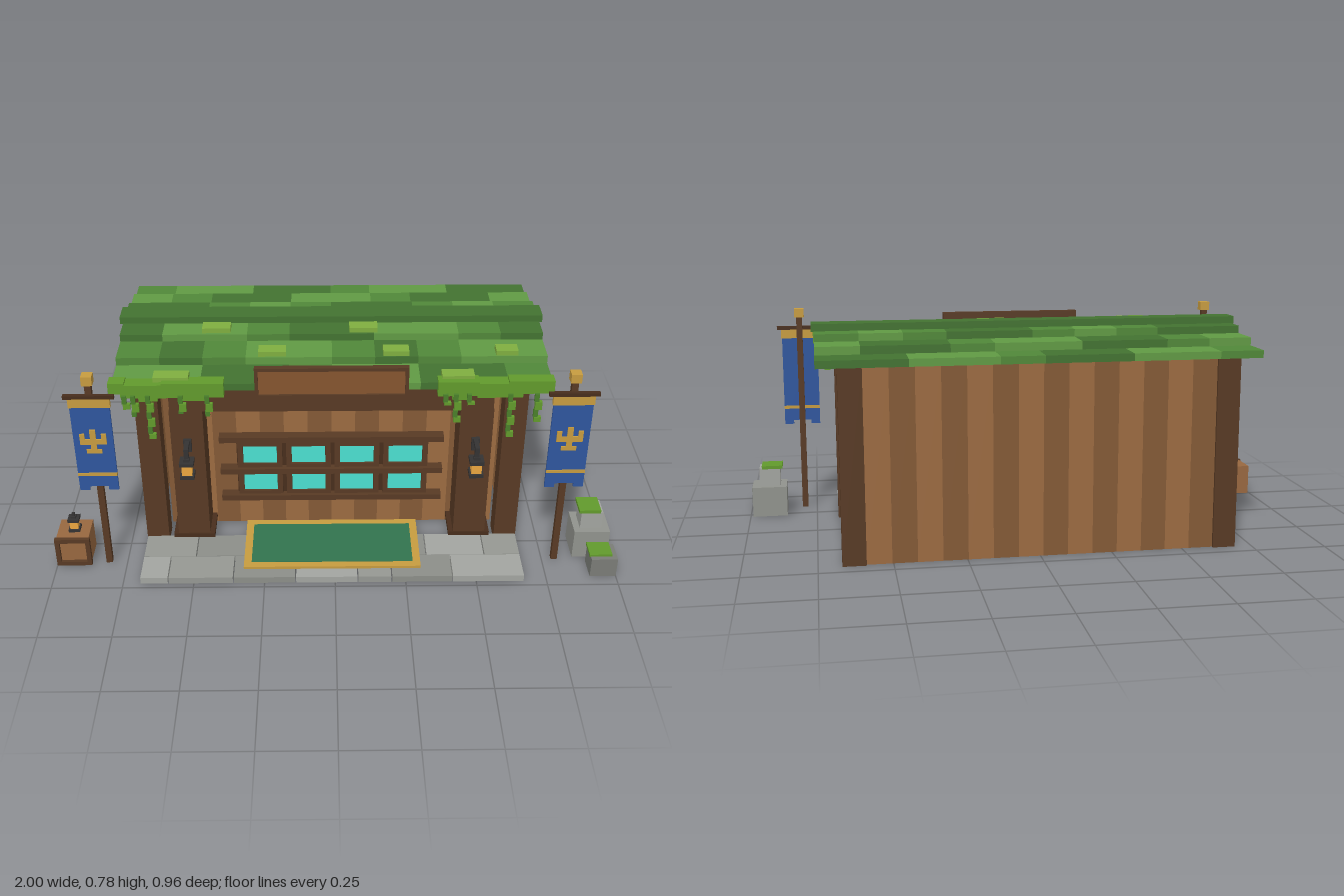
import * as THREE from 'three';

const C = {
  dark: 0x583a24, deep: 0x482e1c, plankA: 0x9c6b41, plankB: 0x845a36, board: 0x85552f, crate: 0x986840,
  glass: 0x4be0d0, gold: 0xc79c40, blue: 0x2f569e, iron: 0x343333, glow: 0xeaa640, rug: 0x32744f,
  stone: [0x969893, 0xa3a5a0, 0x8c8e89], rock: 0x91938d, rockDark: 0x7a7c77,
  roof: [0x437331, 0x518839, 0x619a44], moss: 0x7fae40, leaf: 0x629a2c, leafDark: 0x4a7f2a,
};
const mats = {};
const mat = c => (mats[c] ??= new THREE.MeshStandardMaterial({ color: c, side: THREE.DoubleSide }));
const MID = -0.01; // centre line of the building
const WALL = 0.118; // face of the recessed front wall

// Box given by its limits on each axis; boxes resting on the ground have no underside
function box(parent, name, color, x0, x1, y0, y1, z0, z1) {
  const geo = new THREE.BoxGeometry(x1 - x0, y1 - y0, z1 - z0);
  if (y0 === 0) {
    geo.setIndex([...geo.index.array].filter((_, i) => i < 18 || i >= 24));
    geo.clearGroups();
  }
  const m = new THREE.Mesh(geo, mat(color));
  m.position.set((x0 + x1) / 2, (y0 + y1) / 2, (z0 + z1) / 2);
  m.name = name;
  parent.add(m);
}

function group(parent, name, x = 0, y = 0, z = 0) {
  const g = new THREE.Group();
  g.name = name;
  g.position.set(x, y, z);
  parent.add(g);
  return g;
}

// Rectangular border of four strips in the xy plane
function border(parent, name, color, x0, x1, y0, y1, z0, z1, t) {
  for (const [a, b] of [[y0, y0 + t], [y1 - t, y1]]) box(parent, name, color, x0, x1, a, b, z0, z1);
  for (const [a, b] of [[x0, x0 + t], [x1 - t, x1]]) box(parent, name, color, a, b, y0 + t, y1 - t, z0, z1);
}

// Lantern standing at the given point
function lantern(parent, s, x, y, z) {
  const g = group(parent, 'lantern', x, y, z);
  const layer = (n, c, w, y0, y1) => box(g, n, c, -w, w, y0, y1, -w, w);
  layer('lanternBase', C.iron, 0.025, 0.0002, 0.013);
  layer('lanternGlow', C.glow, 0.018, 0.013, 0.053);
  layer('lanternCap', C.iron, 0.025, 0.053, 0.066);
  layer('lanternTop', C.iron, 0.011, 0.066, 0.076);
  g.scale.setScalar(s);
}

function walls(root) {
  const g = group(root, 'walls');
  const tint = i => (i % 2 ? C.plankA : C.plankB);
  const nx = 14, x0 = -0.61, w = 1.2 / nx;
  for (let i = 0; i < nx; i++) {
    box(g, 'frontPlank', tint(i), x0 + i * w, x0 + (i + 1) * w, 0, 0.67, WALL - 0.03, WALL);
    box(g, 'backPlank', tint(i), x0 + i * w, x0 + (i + 1) * w, 0, 0.67, -0.435, -0.405);
  }
  const nz = 5, d = 0.525 / nz;
  for (let i = 0; i < nz; i++)
    for (const x of [-0.68, 0.63])
      box(g, 'sidePlank', tint(i + 1), x, x + 0.03, 0, 0.67, -0.37 + i * d, -0.37 + (i + 1) * d);
  for (const x of [-0.69, 0.59])
    for (const z of [-0.445, 0.155]) box(g, 'cornerPost', C.dark, x, x + 0.08, 0, 0.67, z, z + 0.08);
  // Front pilasters, their feet, and the lintel
  for (const s of [-1, 1]) {
    const x = MID + s * 0.505;
    box(g, 'pilaster', C.dark, x - 0.058, x + 0.058, 0.025, 0.57, WALL, 0.242);
    box(g, 'pilasterFoot', C.deep, x - 0.075, x + 0.075, 0.0255, 0.042, WALL, 0.246);
  }
  box(g, 'lintel', C.dark, -0.57, 0.55, 0.57, 0.67, WALL, 0.245);
}

function roof(root) {
  const g = group(root, 'roof');
  const ridgeZ = -0.105, n = 10, w = 1.495 / n;
  // Stepped tiers, each of short planks either side of the ridge: z back, z front, bottom, top
  [[-0.48, 0.27, 0.67, 0.696], [-0.355, 0.14, 0.696, 0.724], [-0.23, 0.02, 0.724, 0.75]].forEach(([z0, z1, y0, y1], r) => {
    for (let i = 0; i < n; i++) {
      const x = -0.755 + i * w;
      [[z0, ridgeZ], [ridgeZ, z1]].forEach(([a, b], half) => {
        const k = Math.round(1 + 1.2 * Math.sin(i * 1.25 + r * 2.1 + half * 1.4));
        box(g, 'roofPlank', C.roof[Math.min(2, Math.max(0, k))], x, x + w, y0, y1, a, b);
      });
    }
  });
  box(g, 'ridge', C.roof[0], -0.765, 0.75, 0.749, 0.775, -0.146, -0.065);
  // Moss patches: x, z, top, half width
  for (const [x, z, y, h] of [[-0.415, -0.015, 0.768, 0.05], [0.105, -0.015, 0.768, 0.05],
    [-0.215, 0.11, 0.742, 0.048], [0.215, 0.11, 0.742, 0.045], [0.6, 0.11, 0.742, 0.038],
    [-0.555, 0.235, 0.715, 0.06], [0.42, 0.235, 0.715, 0.055]])
    box(g, 'mossPatch', C.moss, x - h, x + h, y - 0.019, y, z - 0.025, z + 0.025);
}

function vines(root) {
  const g = group(root, 'vines');
  // Leaf clumps along the eave: x from, x to, y from, y to
  for (const [a, b, y0, y1] of [[-0.765, -0.71, 0.665, 0.705], [-0.725, -0.57, 0.648, 0.698], [-0.665, -0.6, 0.635, 0.68],
    [-0.585, -0.375, 0.65, 0.704], [-0.53, -0.44, 0.637, 0.68], [0.35, 0.49, 0.65, 0.704], [0.4, 0.46, 0.635, 0.68],
    [0.485, 0.64, 0.643, 0.698], [0.59, 0.745, 0.658, 0.706]])
    box(g, 'leafClump', C.leaf, a, b, y0, y1, 0.235, 0.283);
  // Hanging strands: x, lowest y
  for (const [x, end] of [[-0.71, 0.61], [-0.68, 0.58], [-0.63, 0.49], [-0.52, 0.59], [-0.43, 0.58],
    [0.38, 0.62], [0.415, 0.55], [0.46, 0.62], [0.6, 0.49], [0.69, 0.55]]) {
    for (let y = 0.66, i = 0; y > end + 0.005; y -= 0.03, i++) {
      const h = i % 2 ? 0.012 : 0.008, dx = i % 2 ? 0.004 : -0.003;
      box(g, 'vineLeaf', i % 2 ? C.leaf : C.leafDark, x + dx - h, x + dx + h, Math.max(end, y - 0.031), y, 0.286 - h * 0.6, 0.286 + h * 0.6);
    }
  }
}

// Built against z = 0 and set on the recessed wall
function shopWindow(root) {
  const g = group(root, 'window', 0, 0, WALL);
  box(g, 'windowBacking', C.deep, -0.355, 0.335, 0.145, 0.38, -0.005, 0.01);
  for (let i = 0; i < 4; i++)
    for (const y of [0.16, 0.28]) {
      const x = -0.331 + i * 0.1765;
      box(g, 'pane', C.glass, x, x + 0.122, y, y + 0.077, 0.005, 0.017);
      border(g, 'paneFrame', C.dark, x - 0.02, x + 0.142, y - 0.018, y + 0.095, 0.005, 0.025, 0.019);
    }
  for (const y of [0.125, 0.243, 0.38]) box(g, 'windowRail', C.dark, -0.415, 0.395, y, y + 0.022, -0.005, 0.038);
}

function bannerStand(root, x) {
  const g = group(root, 'bannerStand', x);
  box(g, 'pole', C.dark, -0.011, 0.011, 0, 0.75, 0.337, 0.358);
  box(g, 'finial', C.gold, -0.018, 0.018, 0.747, 0.78, 0.33, 0.366);
  box(g, 'crossbar', C.deep, -0.085, 0.085, 0.698, 0.711, 0.355, 0.37);
  box(g, 'topBand', C.gold, -0.07, 0.07, 0.665, 0.7, 0.356, 0.37);
  box(g, 'cloth', C.blue, -0.067, 0.067, 0.345, 0.666, 0.358, 0.367);
  for (const s of [-1, 1]) box(g, 'clothTail', C.blue, s * 0.05 - 0.017, s * 0.05 + 0.017, 0.33, 0.345, 0.358, 0.367);
  box(g, 'lowerBand', C.gold, -0.067, 0.067, 0.39, 0.402, 0.357, 0.37);
  // Pronged ornament
  for (const [a, b, y0, y1] of [[-0.01, 0.01, 0.485, 0.578], [-0.045, 0.045, 0.52, 0.54], [-0.045, -0.028, 0.54, 0.562],
    [0.028, 0.045, 0.54, 0.562], [-0.026, 0.026, 0.485, 0.5]]) box(g, 'ornament', C.gold, a, b, y0, y1, 0.366, 0.371);
}

function paving(root) {
  const g = group(root, 'paving');
  const joints = [[-0.69, -0.5, -0.27, -0.04, 0.18, 0.33, 0.54, 0.67], [-0.69, -0.59, -0.36, -0.14, 0.08, 0.2, 0.415, 0.67]];
  joints.forEach((xs, r) => {
    const z = 0.236 + r * 0.122;
    for (let i = 0; i < xs.length - 1; i++)
      box(g, 'pavingStone', C.stone[(i * 2 + r) % 3], xs[i] + 0.002, xs[i + 1] - 0.002, 0, 0.025, z + 0.001, z + 0.12);
  });
  // Doormat with gold trim, reaching back to the wall
  box(g, 'matTrim', C.gold, -0.325, 0.305, 0.0255, 0.0355, 0.16, 0.433);
  box(g, 'mat', C.rug, -0.298, 0.278, 0.03, 0.037, 0.187, 0.407);
}

export function createModel() {
  const root = new THREE.Group();
  root.name = 'shop';
  walls(root);
  roof(root);
  vines(root);
  shopWindow(root);
  paving(root);

  // Blank signboard above the eave
  const sign = group(root, 'sign');
  box(sign, 'signBoard', C.board, -0.26, 0.24, 0.655, 0.76, 0.272, 0.28);
  box(sign, 'signBack', C.dark, -0.27, 0.25, 0.648, 0.763, 0.266, 0.273);
  border(sign, 'signFrame', C.dark, -0.27, 0.25, 0.648, 0.763, 0.272, 0.287, 0.012);

  for (const s of [-1, 1]) {
    bannerStand(root, MID + s * 0.805);
    // Bracket lantern on each pilaster
    const g = group(root, 'wallLantern', MID + s * 0.505);
    box(g, 'bracketPlate', C.iron, -0.014, 0.014, 0.41, 0.458, 0.24, 0.256);
    box(g, 'bracketArm', C.iron, -0.008, 0.008, 0.445, 0.457, 0.25, 0.314);
    box(g, 'bracketDrop', C.iron, -0.008, 0.008, 0.41, 0.45, 0.298, 0.312);
    lantern(g, 1, 0, 0.342, 0.305);
  }

  // Crate with a small lantern on top
  const crate = group(root, 'crate');
  box(crate, 'crateBody', C.crate, -0.995, -0.88, 0, 0.113, 0.25, 0.362);
  border(crate, 'crateFrame', C.dark, -1, -0.875, 0, 0.115, 0.358, 0.374, 0.016);
  lantern(crate, 0.8, -0.935, 0.113, 0.306);
  box(crate, 'lanternHandle', C.iron, -0.94, -0.93, 0.17, 0.186, 0.301, 0.311);

  // Mossy stone blocks
  const rocks = group(root, 'rocks');
  box(rocks, 'largeRock', C.rock, 0.862, 0.99, 0, 0.113, 0.222, 0.345);
  box(rocks, 'upperRock', C.stone[1], 0.885, 0.962, 0.113, 0.182, 0.245, 0.32);
  box(rocks, 'upperMoss', C.leaf, 0.876, 0.953, 0.18, 0.192, 0.24, 0.323);
  box(rocks, 'smallRock', C.rockDark, 0.907, 1, 0, 0.075, 0.367, 0.455);
  box(rocks, 'smallMoss', C.leaf, 0.903, 0.983, 0.073, 0.083, 0.365, 0.437);
  return root;
}
